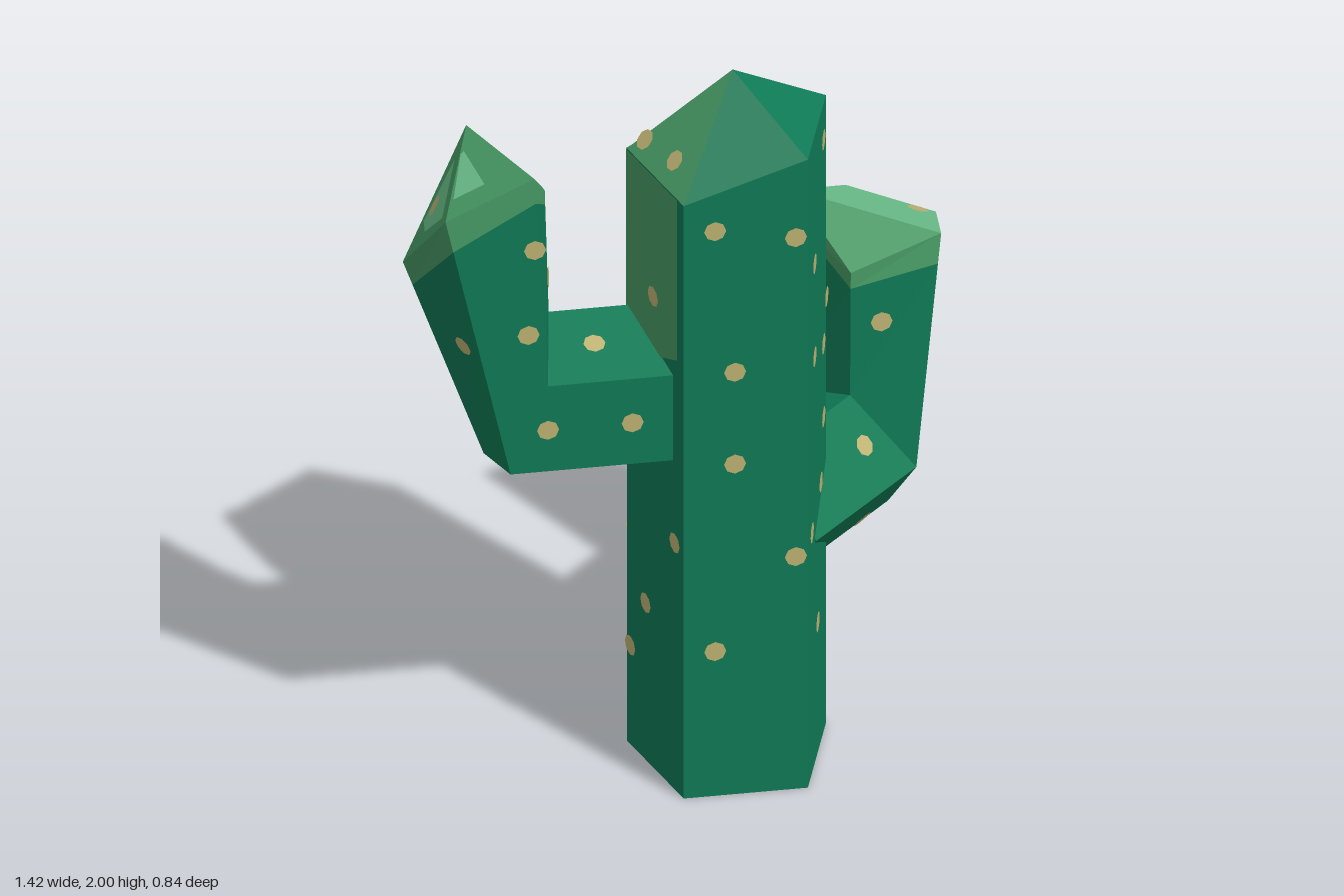
import * as THREE from 'three';

const V = (x, y, z) => new THREE.Vector3(x, y, z);
const material = (name, color) => {
  const m = new THREE.MeshStandardMaterial({ color, side: THREE.DoubleSide });
  m.name = name;
  return m;
};

// Flat mesh from convex polygons, each split as a fan
function polyMesh(name, mat, polys) {
  const pos = [];
  for (const p of polys)
    for (let i = 1; i < p.length - 1; i++)
      for (const q of [p[0], p[i], p[i + 1]]) pos.push(q.x, q.y, q.z);
  const g = new THREE.BufferGeometry();
  g.setAttribute('position', new THREE.Float32BufferAttribute(pos, 3));
  g.computeVertexNormals();
  const mesh = new THREE.Mesh(g, mat);
  mesh.name = name;
  return mesh;
}

// Side quads between two rings
const walls = (r0, r1) => r0.map((p, i) => {
  const j = (i + 1) % r0.length;
  return [p, r0[j], r1[j], r1[i]];
});

const normalOf = (a, b, c) => b.clone().sub(a).cross(c.clone().sub(a)).normalize();

// Point and normal on a quad (or triangle, when d equals c) at u, v
function onFace([a, b, c, d = c], u, v) {
  const mix = (o, p, q, r, s) => o.clone()
    .addScaledVector(q.clone().sub(p), u).addScaledVector(s.clone().sub(r), v);
  return u >= v
    ? { p: mix(a, a, b, b, c), n: normalOf(a, b, c) }
    : { p: mix(a, d, c, a, d), n: normalOf(a, c, d) };
}

// Thin painted patch outlined by u, v points on a face
function patch(name, mat, face, uv, lift) {
  return polyMesh(name, mat, [uv.map(([u, v]) => {
    const { p, n } = onFace(face, u, v);
    return p.addScaledVector(n, lift);
  })]);
}

// Small round spots on a face
function spots(group, mat, face, list) {
  for (const [u, v] of list) {
    const { p, n } = onFace(face, u, v);
    const s = new THREE.Mesh(new THREE.CircleGeometry(0.028, 8), mat);
    s.name = 'spot';
    s.position.copy(p).addScaledVector(n, 0.007);
    s.quaternion.setFromUnitVectors(V(0, 0, 1), n);
    group.add(s);
  }
}

export function createModel() {
  const green = material('deep green', 0x0f7a55);
  const mid = material('mid green', 0x489c66);
  const light = material('light green', 0x6cc18c);
  const tan = material('tan', 0xbfb373);
  const model = new THREE.Group();
  model.name = 'cactus';

  // Trunk: pentagonal prism with a slanted rim and a pointed top
  const trunk = new THREE.Group();
  trunk.name = 'trunk';
  const plan = [[-0.05, 0.415, 1.745], [0.265, 0.415, 1.85], [0.36, 0.12, 1.85], [0.11, -0.065, 1.745], [-0.145, 0.12, 1.745]];
  const foot = plan.map(([x, z]) => V(x, 0, z));
  const rim = plan.map(([x, z, y]) => V(x, y, z));
  const apex = V(0.11, 2, 0.2);
  const sides = walls(foot, rim);
  const roof = rim.map((p, i) => [p, rim[(i + 1) % 5], apex]);
  trunk.add(
    polyMesh('trunkSides', green, [...sides, [...foot].reverse()]),
    polyMesh('trunkTop', green, roof.slice(0, 3)),
    polyMesh('trunkTopFaded', mid, roof.slice(3)),
    patch('fadedBack', mid, sides[3], [[0, 0.68], [0.3, 0.63], [1, 0.6], [1, 1], [0, 1]], 0.003),
    patch('paleBack', light, sides[3], [[0.55, 0.8], [0.7, 0.76], [0.95, 0.8], [0.95, 0.93], [0.55, 0.95]], 0.005),
    patch('fadedLeft', mid, sides[4], [[0.1, 0.73], [1, 0.66], [1, 1], [0.1, 1]].map(([u, v]) => [1 - u, v]), 0.003),
    patch('fadedEdge', mid, sides[2], [[0.86, 0.72], [1, 0.68], [1, 1], [0.8, 0.97]], 0.003),
    patch('paleTop', light, roof[3], [[0.3, 0.03], [0.9, 0.03], [0.75, 0.5], [0.55, 0.45]], 0.004)
  );
  const trunkSpots = [
    [[0.25, 0.94], [0.9, 0.88], [0.41, 0.69], [0.41, 0.535], [0.9, 0.372], [0.25, 0.232]],
    [[0.73, 0.957], [0.24, 0.81], [0.24, 0.662], [0.73, 0.632], [0.9, 0.69], [0.73, 0.516], [0.58, 0.427], [0.09, 0.397], [0.41, 0.222]],
    [[0.25, 0.875], [0.6, 0.585], [0.3, 0.4]],
    [[0.25, 0.89], [0.75, 0.89], [0.41, 0.736], [0.1, 0.51], [0.58, 0.453], [0.9, 0.361], [0.1, 0.327]],
    [[0.1, 0.172], [0.37, 0.27], [0.88, 0.421], [0.5, 0.8]],
  ];
  trunkSpots.forEach((list, i) => spots(trunk, tan, sides[i], list.map(([u, v]) => i === 4 ? [Math.min(u, 0.9), v] : [u, v])));
  spots(trunk, tan, roof[4], [[0.22, 0.15], [0.7, 0.2]]);
  spots(trunk, tan, roof[2], [[0.72, 0.45]]);
  model.add(trunk);

  // Arm: horizontal pentagonal stub, bent elbow, upright part with a pale slanted tip
  function arm(name, start, elbow, tip, midTris, lightTris, band, stubSpots, upSpots) {
    const g = new THREE.Group();
    g.name = name;
    const edge = elbow.map((p, i) => p.clone().lerp(tip[i], band));
    const stub = walls(start, elbow), upright = walls(elbow, edge);
    const pick = (tris) => tris.map((t) => t.map((i) => tip[i]));
    g.add(
      polyMesh('stub', green, [...stub, [...start].reverse()]),
      polyMesh('upright', green, upright),
      polyMesh('tipBand', mid, walls(edge, tip)),
      polyMesh('tip', mid, pick(midTris))
    );
    if (lightTris.length) g.add(polyMesh('tipPale', light, pick(lightTris)));
    stubSpots.forEach(([i, u, v]) => spots(g, tan, stub[i], [[u, v]]));
    upSpots.forEach(([i, u, v]) => spots(g, tan, upright[i], [[u, v]]));
    model.add(g);
    return g;
  }

  // Higher arm on the -x side
  const sectionA = [[0.965, 0.36, -0.48], [1.215, 0.36, -0.385], [1.29, 0.13, -0.345], [1.09, -0.015, -0.43], [0.89, 0.13, -0.51]];
  const tipA = [V(-0.645, 1.725, 0.36), V(-0.42, 1.83, 0.36), V(-0.355, 1.65, 0.13), V(-0.53, 1.77, -0.015), V(-0.715, 1.475, 0.13)];
  const high = arm('highArm',
    sectionA.map(([y, z]) => V(0.1, y, z)),
    sectionA.map(([y, z, x]) => V(x, y, z)),
    tipA, [[0, 1, 3], [1, 2, 3], [0, 3, 4]], [], 0.88,
    [[0, 0.5, 0.92], [0, 0.5, 0.55], [1, 0.5, 0.76], [2, 0.5, 0.78], [4, 0.4, 0.8], [3, 0.5, 0.6]],
    [[0, 0.62, 0.47], [0, 0.9, 0.8], [4, 0.5, 0.55], [3, 0.3, 0.15], [3, 0.6, 0.7], [2, 0.5, 0.75], [1, 0.5, 0.6]]);
  const tipFace = [tipA[0], tipA[3], tipA[4]];
  high.add(
    patch('paleTip', light, tipFace, [[0.15, 0.08], [0.75, 0.08], [0.85, 0.6], [0.6, 0.5]], 0.004),
    patch('paleTip', light, [tipA[0], tipA[1], tipA[3]], [[0.25, 0.2], [0.6, 0.2], [0.75, 0.7], [0.7, 0.68]], 0.004)
  );
  spots(high, tan, tipFace, [[0.65, 0.35]]);

  // Lower arm, running diagonally to +x and -z: rows are y, across, along
  const diag = (y, v, u) => V((v + u) * Math.SQRT1_2, y, (v - u) * Math.SQRT1_2);
  const sectionB = [[0.855, 0.285, 0.35], [0.655, 0.431, 0.431], [0.465, 0.288, 0.509], [0.54, 0.05, 0.474], [0.78, 0.048, 0.38]];
  const tipB = [V(0.452, 1.21, -0.053), V(0.685, 1.29, -0.075), V(0.71, 1.21, -0.305), V(0.5, 1.24, -0.42), V(0.34, 1.34, -0.26)];
  const low = arm('lowArm',
    sectionB.map(([y, v]) => diag(y, v, 0)),
    sectionB.map(([y, v, u]) => diag(y, v, u)),
    tipB, [[0, 1, 4]], [[1, 2, 3], [1, 3, 4]], 0.87,
    [[0, 0.5, 0.75], [1, 0.7, 0.65], [3, 0.5, 0.5]],
    [[0, 0.35, 0.62], [1, 0.5, 0.42], [2, 0.2, 0.88], [2, 0.2, 0.12], [3, 0.5, 0.62], [3, 0.35, 0.93], [3, 0.2, 0.07], [4, 0.5, 0.5]]);
  spots(low, tan, [tipB[1], tipB[2], tipB[3]], [[0.75, 0.22]]);

  return model;
}
